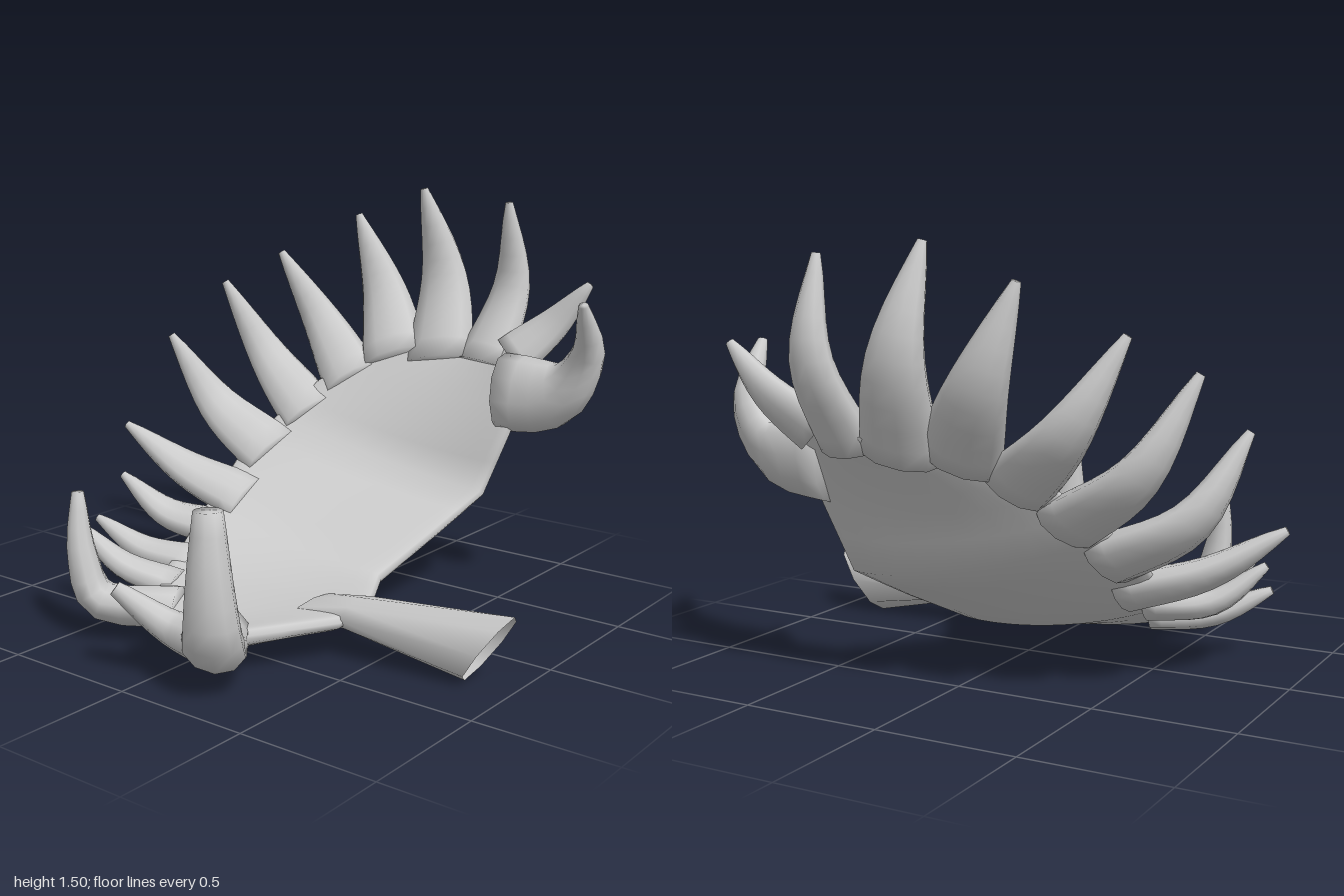
import * as THREE from 'three';

const V = (p) => new THREE.Vector3(...p);
const solid = new THREE.MeshStandardMaterial({ color: 0xcccccc });
const shell = new THREE.MeshStandardMaterial({ color: 0xcccccc, side: THREE.DoubleSide });

// Skin a list of equal-sized closed rings, with optional end cap, facing outwards.
function loft(rings, capEnd = true) {
  const n = rings[0].length, pts = rings.flat(), idx = [];
  for (let i = 0; i < rings.length - 1; i++) {
    for (let j = 0; j < n; j++) {
      const a = i * n + j, b = i * n + (j + 1) % n;
      idx.push(a, b, a + n, b, b + n, a + n);
    }
  }
  const middle = (ring) => ring.reduce((s, p) => s.add(p), V([0, 0, 0])).divideScalar(n);
  const last = rings.length - 1, end = middle(rings[last]);
  const cap = (r, flip) => {
    const c = pts.push(middle(rings[r])) - 1;
    for (let j = 0; j < n; j++) {
      const a = r * n + j, b = r * n + (j + 1) % n;
      idx.push(c, flip ? b : a, flip ? a : b);
    }
  };
  cap(0, true);
  if (capEnd) cap(last, false);
  let volume = 0;
  for (let k = 0; k < idx.length; k += 3) {
    const [a, b, c] = [0, 1, 2].map((m) => pts[idx[k + m]].clone().sub(end));
    volume += a.dot(b.cross(c));
  }
  if (volume < 0) idx.reverse();
  const g = new THREE.BufferGeometry().setFromPoints(pts);
  g.setIndex(idx);
  g.computeVertexNormals();
  return g;
}

// The two rims of the palm, from front to back.
const INNER_RIM = [
  [0.20, 0.14, 0.73], [0.41, 0.14, 0.38], [0.39, 0.14, 0.17], [0.26, 0.14, -0.07], [0.33, 0.26, -0.32],
  [0.40, 0.38, -0.54], [0.47, 0.62, -0.61], [0.48, 0.82, -0.70], [0.40, 0.97, -0.79],
].map(V);
const TINED_RIM = [
  [-0.13, 0.13, 0.71], [-0.41, 0.13, 0.40], [-0.50, 0.16, 0.20], [-0.57, 0.27, -0.03], [-0.59, 0.42, -0.25],
  [-0.53, 0.58, -0.44], [-0.42, 0.72, -0.58], [-0.25, 0.81, -0.68], [-0.02, 0.91, -0.78],
].map(V);
const TOP = INNER_RIM.length - 1;

// Point on the palm's middle surface: row runs front to back, t from inner to tined rim.
function palmPoint(row, t) {
  const i = Math.min(Math.floor(row), TOP - 1);
  const onRim = (rim) => rim[i].clone().lerp(rim[i + 1], row - i);
  const p = onRim(INNER_RIM).lerp(onRim(TINED_RIM), t);
  const sag = 4 * t * (1 - t);
  p.y -= 0.04 * sag;
  if (row > 4) p.z -= 0.03 * sag * Math.min(row - 4, 1);
  return p;
}

// Palm: lens-shaped slab around that surface.
function palmGeometry() {
  const rings = [], sides = 28;
  for (let r = 0; r <= TOP; r += 0.5) {
    rings.push(Array.from({ length: sides }, (_, j) => {
      const a = (j / sides) * Math.PI * 2, t = 0.5 - 0.5 * Math.cos(a), s = Math.sin(a);
      const across = palmPoint(r, Math.min(t + 0.05, 1)).sub(palmPoint(r, Math.max(t - 0.05, 0)));
      const along = palmPoint(Math.min(r + 0.5, TOP), t).sub(palmPoint(Math.max(r - 0.5, 0), t));
      const normal = along.cross(across).normalize();
      const half = 0.042 - 0.012 * (r / TOP);
      return palmPoint(r, t).addScaledVector(normal, half * Math.sign(s) * Math.sqrt(Math.abs(s)));
    }));
  }
  return loft(rings);
}

// Tapered, flattened tine whose broad face looks into the bowl.
const BOWL = V([0.1, 0.95, 0.1]);
function tineGeometry(path, rootRadius, tipRadius, flat) {
  const curve = new THREE.CatmullRomCurve3(path), rings = [], steps = 10, sides = 10;
  for (let i = 0; i <= steps; i++) {
    const u = i / steps, c = curve.getPoint(u), tan = curve.getTangent(u);
    const r = THREE.MathUtils.lerp(rootRadius, tipRadius, Math.pow(u, 1.5));
    const side = tan.clone().cross(BOWL.clone().sub(c)).normalize();
    const face = side.clone().cross(tan).normalize();
    const f = THREE.MathUtils.lerp(flat, 1, u * u);
    rings.push(Array.from({ length: sides }, (_, j) => {
      const a = (j / sides) * Math.PI * 2;
      return c.clone().addScaledVector(side, r * Math.cos(a)).addScaledVector(face, r * f * Math.sin(a));
    }));
  }
  return loft(rings);
}

// Rim tines: root on the palm, tip, and how far the middle bows out of the bowl.
const RIM_TINES = [
  { row: 1.05, t: 0.9, tip: [-0.68, 0.31, 0.53], bow: 0.04, radius: 0.10 },
  { row: 2.0, t: 0.9, tip: [-0.83, 0.26, 0.30], bow: 0.04, radius: 0.10 },
  { row: 2.8, t: 0.9, tip: [-0.87, 0.39, 0.12], bow: 0.06, radius: 0.10 },
  { row: 3.5, t: 0.85, tip: [-0.99, 0.55, -0.03], bow: 0.04, radius: 0.12 },
  { row: 4.4, t: 0.9, tip: [-0.93, 0.90, -0.24], bow: 0.11, radius: 0.13 },
  { row: 5.3, t: 0.9, tip: [-0.86, 1.10, -0.50], bow: 0.12, radius: 0.12 },
  { row: 6.3, t: 0.9, tip: [-0.70, 1.22, -0.68], bow: 0.11, radius: 0.12 },
  { row: 7.2, t: 0.9, tip: [-0.42, 1.38, -0.85], bow: 0.08, radius: 0.14 },
  { row: 7.4, t: 0.65, tip: [-0.09, 1.50, -0.84], bow: 0.10, radius: 0.15 },
  { row: 7.4, t: 0.33, tip: [0.285, 1.46, -0.87], bow: 0.10, radius: 0.12 },
  { row: 7.5, t: 0.1, tip: [0.65, 1.17, -0.86], bow: 0.03, radius: 0.10 },
];

function rimTineGeometry({ row, t, tip, bow, radius }) {
  const root = palmPoint(row, t), end = V(tip), mid = root.clone().lerp(end, 0.5);
  const chord = end.clone().sub(root).normalize();
  const out = mid.clone().sub(BOWL);
  out.addScaledVector(chord, -out.dot(chord)).normalize();
  return tineGeometry([root, mid.addScaledVector(out, bow), end], radius, 0.015, 0.55);
}

// Strongly bent tines, each with its own path from root to tip.
const BENT_TINES = [
  { name: 'frontLowTine', path: [[0.24, 0.16, 0.82], [0.06, 0.18, 0.83], [-0.09, 0.31, 0.93]], radius: 0.085, tip: 0.025, flat: 0.9 },
  { name: 'frontTallTine', path: [[0.10, 0.14, 0.66], [0.27, 0.18, 0.86], [0.295, 0.38, 0.90], [0.285, 0.63, 0.89]], radius: 0.12, tip: 0.048, flat: 0.75 },
  { name: 'frontSideTine', path: [[-0.16, 0.12, 0.56], [-0.41, 0.14, 0.70], [-0.46, 0.31, 0.73], [-0.48, 0.52, 0.72]], radius: 0.11, tip: 0.022, flat: 0.7 },
  { name: 'innerTine', path: [[0.40, 0.76, -0.66], [0.66, 0.79, -0.64], [0.78, 0.95, -0.61], [0.82, 1.15, -0.48]], radius: 0.15, tip: 0.018, flat: 0.55 },
];

// Flaring stem with a slanted open mouth.
function stemGeometry() {
  const ring = (x, y, z, ry, rz, slant) => Array.from({ length: 8 }, (_, j) => {
    const a = (j / 8) * Math.PI * 2;
    return V([x + slant * Math.sin(a), y + ry * Math.sin(a), z + rz * Math.cos(a)]);
  });
  return loft([
    ring(0.22, 0.13, 0.28, 0.03, 0.12, 0),
    ring(0.40, 0.145, 0.27, 0.055, 0.10, 0.01),
    ring(0.91, 0.13, 0.25, 0.13, 0.08, 0.09),
  ], false);
}

export function createModel() {
  const group = new THREE.Group();
  group.name = 'antler';
  const add = (name, geometry, material = solid) => {
    const mesh = new THREE.Mesh(geometry, material);
    mesh.name = name;
    group.add(mesh);
  };
  add('palm', palmGeometry());
  RIM_TINES.forEach((tine, i) => add(`rimTine${i + 1}`, rimTineGeometry(tine)));
  for (const { name, path, radius, tip, flat } of BENT_TINES) {
    add(name, tineGeometry(path.map(V), radius, tip, flat));
  }
  add('stem', stemGeometry(), shell);
  return group;
}
